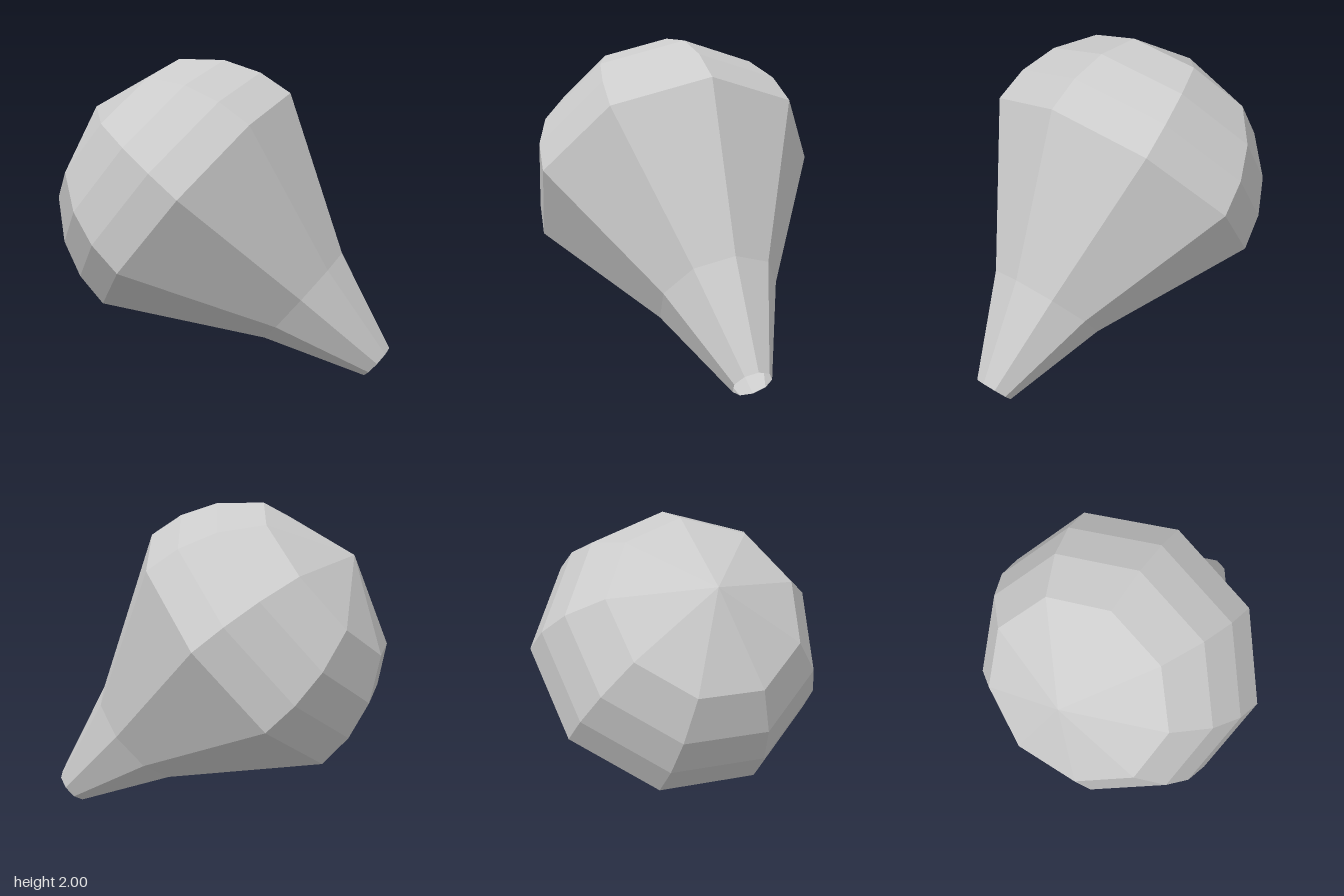
import * as THREE from 'three';

const SIDES = 9;
const R = 0.92; // widest radius, also the radius of the rounded end

export function createModel() {
  const model = new THREE.Group();
  const material = new THREE.MeshStandardMaterial({
    color: 0xcccccc, flatShading: true, side: THREE.DoubleSide,
  });

  // Tilted long axis: +y of this group runs from the narrow mouth to the rounded end
  const bulb = new THREE.Group();
  bulb.name = 'bulb';
  bulb.rotation.set(THREE.MathUtils.degToRad(-49.5), THREE.MathUtils.degToRad(37.6), 0, 'YXZ');
  bulb.position.set(0.036, 1.1, -0.074);
  model.add(bulb);

  // Nine-sided section from [radius, height] pairs, bottom to top
  const addSection = (name, profile) => {
    const points = profile.map(([r, y]) => new THREE.Vector2(r, y));
    const mesh = new THREE.Mesh(new THREE.LatheGeometry(points, SIDES), material);
    mesh.name = name;
    bulb.add(mesh);
  };

  // Rounded end: rings at equal heights on a hemisphere
  const dome = [];
  for (let i = 0; i <= 4; i++) {
    const y = (R * i) / 4;
    dome.push([Math.sqrt(R * R - y * y), y]);
  }
  addSection('roundedEnd', dome);

  // Long taper, then the slim neck with an open mouth
  addSection('taper', [[0.375, -0.92], [R, 0]]);
  addSection('neck', [[0.121, -1.55], [0.375, -0.92]]);

  return model;
}
